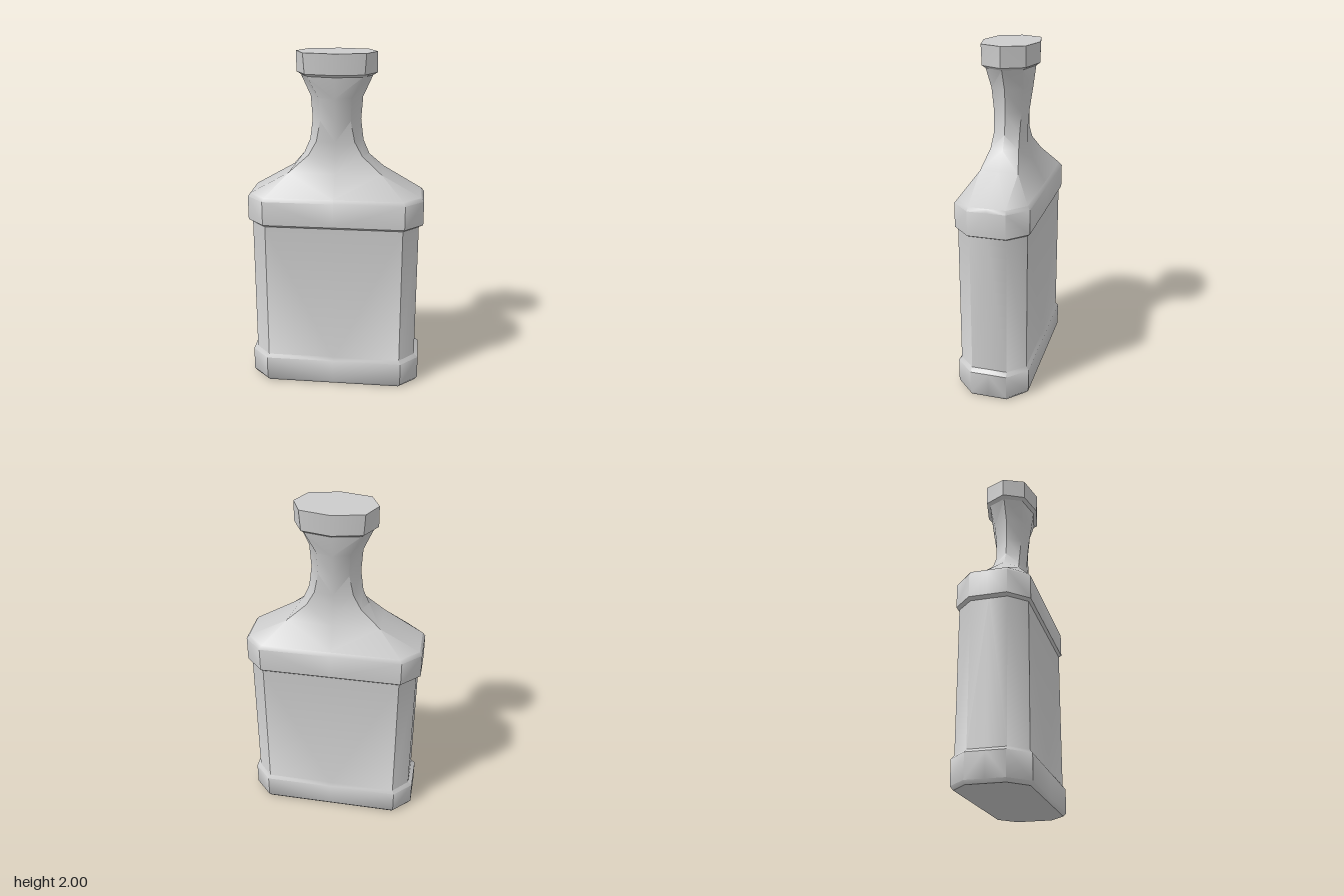
import * as THREE from 'three';
import { toCreasedNormals } from 'three/addons/utils/BufferGeometryUtils.js';

// Twelve-point outline, mirrored from one quadrant:
// side middle (xs, 0), side corner (xa, za), front corner (xb, zb), front middle (0, zf)
function outline([y, xs, xa, za, xb, zb, zf]) {
  return [
    [xs, 0], [xa, za], [xb, zb], [0, zf], [-xb, zb], [-xa, za],
    [-xs, 0], [-xa, -za], [-xb, -zb], [0, -zf], [xb, -zb], [xa, -za],
  ].map(([x, z]) => new THREE.Vector3(x, y, z));
}

// Skin a stack of outlines, optionally closing the bottom or top
function loft(sections, { bottom = false, top = false } = {}) {
  const rings = sections.map(outline);
  const pos = [];
  const tri = (a, b, c) => {
    if (a.distanceTo(b) < 1e-5 || b.distanceTo(c) < 1e-5 || c.distanceTo(a) < 1e-5) return;
    for (const p of [a, b, c]) pos.push(p.x, p.y, p.z);
  };
  const n = 12;
  for (let i = 0; i < rings.length - 1; i++) {
    for (let j = 0; j < n; j++) {
      const k = (j + 1) % n;
      const a = rings[i][j], b = rings[i][k], c = rings[i + 1][j], d = rings[i + 1][k];
      // mirror the diagonals so both halves match
      if (j % 6 < 3) { tri(a, c, b); tri(b, c, d); } else { tri(a, d, b); tri(a, c, d); }
    }
  }
  const cap = (ring, up) => {
    const centre = new THREE.Vector3(0, ring[0].y, 0);
    for (let j = 0; j < n; j++) {
      const k = (j + 1) % n;
      if (up) tri(centre, ring[k], ring[j]); else tri(centre, ring[j], ring[k]);
    }
  };
  if (bottom) cap(rings[0], false);
  if (top) cap(rings[rings.length - 1], true);
  const g = new THREE.BufferGeometry();
  g.setAttribute('position', new THREE.Float32BufferAttribute(pos, 3));
  return toCreasedNormals(g, Math.PI / 4);
}

export function createModel() {
  const group = new THREE.Group();
  const material = new THREE.MeshStandardMaterial({ color: 0xcccccc });
  const add = (name, geometry) => {
    const mesh = new THREE.Mesh(geometry, material);
    mesh.name = name;
    group.add(mesh);
  };

  // Chamfered container: raised foot band, inset wall, raised collar band
  const band = [0.515, 0.515, 0.108, 0.41, 0.215, 0.215];
  const wall = [0.49, 0.49, 0.105, 0.4, 0.2, 0.2];
  const rim = [0.5, 0.5, 0.105, 0.4, 0.2, 0.2];
  add('container', loft([
    [0, ...rim], [0.02, ...band], [0.16, ...band], [0.18, ...wall],
    [1.015, ...wall], [1.028, ...band], [1.17, ...band], [1.19, ...rim],
  ], { bottom: true }));

  // Sloping shoulder narrowing into a waisted neck
  const neckTop = [1.87, 0.205, 0.155, 0.105, 0.155, 0.105, 0.14];
  add('shoulderAndNeck', loft([
    [1.19, ...rim],
    [1.32, 0.27, 0.27, 0.11, 0.27, 0.11, 0.13],
    [1.42, 0.19, 0.155, 0.082, 0.155, 0.082, 0.096],
    [1.5, 0.155, 0.11, 0.075, 0.11, 0.075, 0.094],
    [1.62, 0.14, 0.087, 0.08, 0.087, 0.08, 0.104],
    [1.75, 0.15, 0.092, 0.092, 0.092, 0.092, 0.124],
    neckTop,
  ]));

  // Faceted stopper
  add('stopper', loft([
    neckTop,
    [1.885, 0.23, 0.167, 0.123, 0.167, 0.123, 0.162],
    [2, 0.23, 0.175, 0.125, 0.175, 0.125, 0.165],
  ], { top: true }));

  return group;
}
